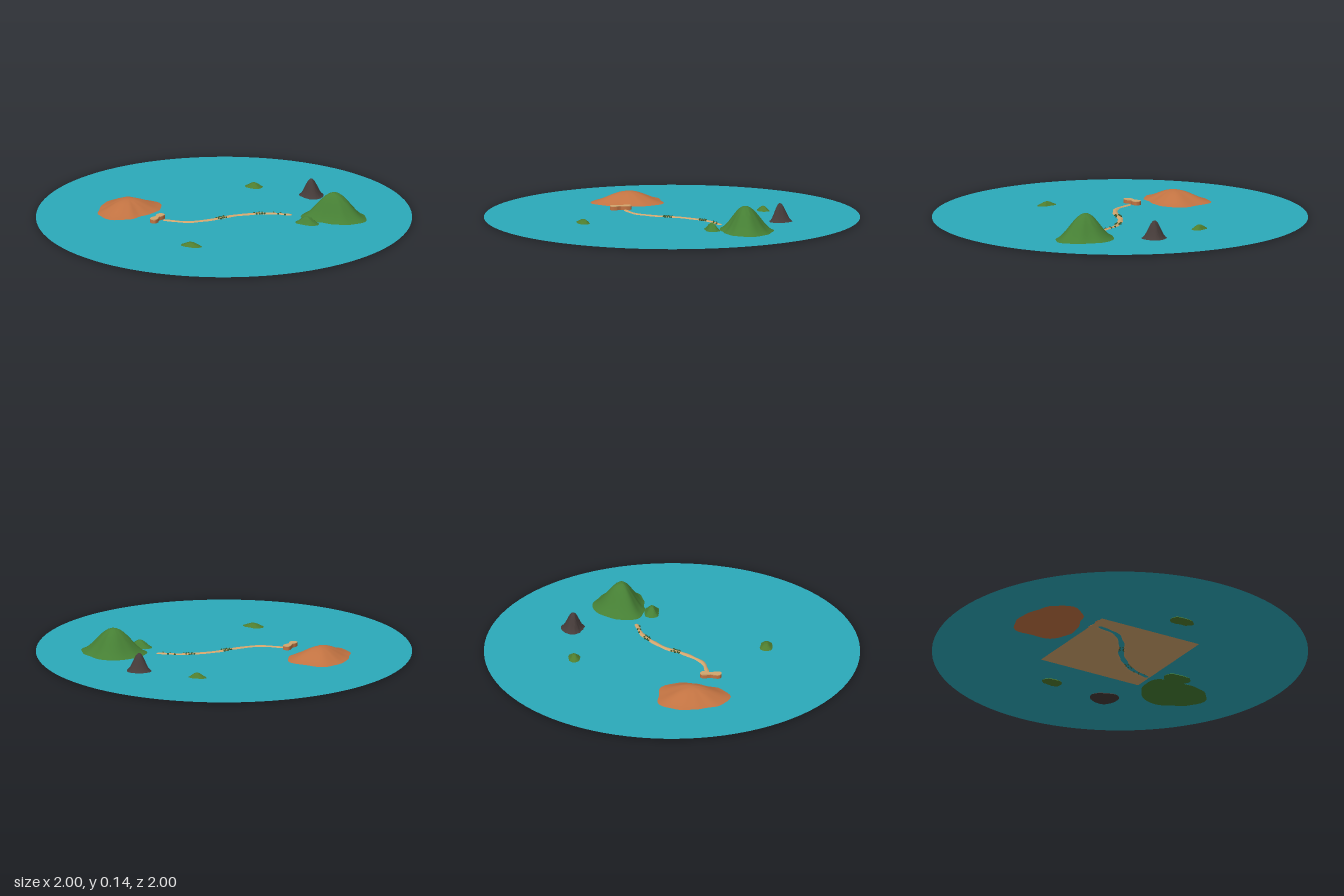
import * as THREE from 'three';
import { toCreasedNormals } from 'three/addons/utils/BufferGeometryUtils.js';

const WATER = 0.006;
const mat = (name, color, side = THREE.FrontSide) => {
  const m = new THREE.MeshStandardMaterial({ color, side });
  m.name = name;
  return m;
};

// Smoothly interpolated radius from evenly spaced values around a circle
function radiusAt(radii, angle) {
  const n = radii.length;
  const f = ((angle / (Math.PI * 2)) * n + n) % n;
  const i = Math.floor(f), t = f - i;
  const s = t * t * (3 - 2 * t);
  return radii[i % n] * (1 - s) + radii[(i + 1) % n] * s;
}

// Bell-shaped hill with an irregular shoreline; angles run from +x towards +z
function hill(name, material, x, z, height, sharpness, radii) {
  const rings = 12;
  const profile = [new THREE.Vector2(0, 0), new THREE.Vector2(1, 0)];
  for (let i = 1; i <= rings; i++) {
    const r = 1 - i / rings;
    const bell = Math.pow(0.5 + 0.5 * Math.cos(Math.PI * r), sharpness);
    profile.push(new THREE.Vector2(r, 0.004 + (height - 0.004) * bell));
  }
  const geo = new THREE.LatheGeometry(profile, 48);
  const p = geo.attributes.position;
  for (let i = 0; i < p.count; i++) {
    const k = radiusAt(radii, Math.atan2(p.getZ(i), p.getX(i)));
    p.setX(i, p.getX(i) * k);
    p.setZ(i, p.getZ(i) * k);
  }
  const mesh = new THREE.Mesh(toCreasedNormals(geo, 0.9), material);
  mesh.name = name;
  mesh.position.set(x, 0, z);
  return mesh;
}

export function createModel() {
  const group = new THREE.Group();
  const water = mat('water', 0x2ba9ba, THREE.DoubleSide);
  const sand = mat('sand', 0xd2a56d, THREE.DoubleSide);
  const clay = mat('clay', 0xc27342);
  const green = mat('forest green', 0x467f34);
  const olive = mat('olive green', 0x4f7d2e);
  const rock = mat('dark rock', 0x453b39);
  const leaf = mat('bush green', 0x3c5a30);

  // Sea
  const sea = new THREE.Mesh(new THREE.CircleGeometry(1, 96).rotateX(-Math.PI / 2), water);
  sea.name = 'sea';
  sea.position.y = WATER;
  group.add(sea);

  // Islands
  group.add(
    hill('greenMountain', green, 0.51, -0.29, 0.142, 1,
      [0.203, 0.176, 0.144, 0.13, 0.155, 0.195, 0.18, 0.165, 0.168, 0.168, 0.157, 0.178]),
    hill('clayMountain', clay, -0.51, 0.13, 0.065, 0.85,
      [0.16, 0.15, 0.19, 0.223, 0.2, 0.165, 0.168, 0.19, 0.22, 0.195, 0.215, 0.188]),
    hill('darkPeak', rock, 0.235, -0.535, 0.102, 1.2,
      [0.075, 0.08, 0.078, 0.062, 0.058, 0.07, 0.08, 0.075, 0.07, 0.073, 0.08, 0.075]),
    hill('shoreHill', green, 0.435, -0.125, 0.045, 1,
      [0.08, 0.07, 0.05, 0.042, 0.048, 0.07, 0.077, 0.068, 0.05, 0.045, 0.05, 0.07]),
    hill('backIslet', olive, -0.1, -0.517, 0.031, 0.9,
      [0.052, 0.05, 0.043, 0.037, 0.042, 0.055, 0.064, 0.05, 0.036, 0.034, 0.042, 0.054]),
    hill('frontIslet', olive, 0.075, 0.497, 0.026, 0.9,
      [0.075, 0.06, 0.046, 0.04, 0.048, 0.065, 0.068, 0.06, 0.045, 0.034, 0.038, 0.058]),
  );

  // Seabed square whose ridge breaks the surface as a winding sandbar
  const course = new THREE.CatmullRomCurve3(
    [[-0.25, 0.2], [-0.13, 0.17], [-0.065, 0.11], [-0.02, 0.05], [0.03, -0.035],
      [0.11, -0.115], [0.18, -0.165], [0.29, -0.2]].map(([x, z]) => new THREE.Vector3(x, 0, z)));
  const samples = course.getSpacedPoints(160);
  const bed = new THREE.PlaneGeometry(0.61, 0.61, 110, 110).rotateX(-Math.PI / 2);
  const p = bed.attributes.position;
  for (let i = 0; i < p.count; i++) {
    let best = 9, at = 0;
    samples.forEach((s, j) => {
      const d = Math.hypot(s.x - p.getX(i), s.z - p.getZ(i));
      if (d < best) { best = d; at = j / 160; }
    });
    const width = 0.011 + 0.005 * Math.sin(at * Math.PI) + 0.002 * Math.sin(at * 40);
    p.setY(i, 0.001 + 0.011 * Math.exp(-((best / width) ** 2)));
  }
  bed.computeVertexNormals();
  const sandbar = new THREE.Mesh(bed, sand);
  sandbar.name = 'sandbar';
  group.add(sandbar);

  // Two-lobed flat-topped outcrop at the end of the sandbar
  const outline = new THREE.SplineCurve(
    [[-0.285, 0.16], [-0.266, 0.168], [-0.264, 0.195], [-0.273, 0.22], [-0.264, 0.245], [-0.268, 0.27],
      [-0.287, 0.276], [-0.304, 0.265], [-0.305, 0.24], [-0.297, 0.22], [-0.304, 0.19], [-0.302, 0.168],
      [-0.285, 0.16]].map(([x, z]) => new THREE.Vector2(x, -z)));
  const slab = (name, material, y, depth) => {
    const geo = new THREE.ExtrudeGeometry(new THREE.Shape(outline.getPoints(40)),
      { depth, bevelEnabled: false }).rotateX(-Math.PI / 2);
    const mesh = new THREE.Mesh(geo, material);
    mesh.name = name;
    mesh.position.y = y;
    return mesh;
  };
  group.add(slab('outcropWall', clay, 0.004, 0.02), slab('outcropTop', sand, 0.024, 0.004));

  // Low bushes in two clumps along the sandbar
  const bushShape = new THREE.IcosahedronGeometry(0.006, 0);
  for (const [start, end, count] of [[0.42, 0.5, 10], [0.73, 0.81, 8], [0.88, 0.98, 4]]) {
    for (let i = 0; i < count; i++) {
      const c = course.getPointAt(start + (end - start) * (i / count));
      const bush = new THREE.Mesh(bushShape, leaf);
      bush.name = 'bush';
      const side = (i % 2 ? 1 : -1) * (0.008 + 0.003 * Math.sin(i * 5));
      bush.position.set(c.x + side, 0.009, c.z + side * 0.8);
      bush.rotation.y = i;
      group.add(bush);
    }
  }
  return group;
}
